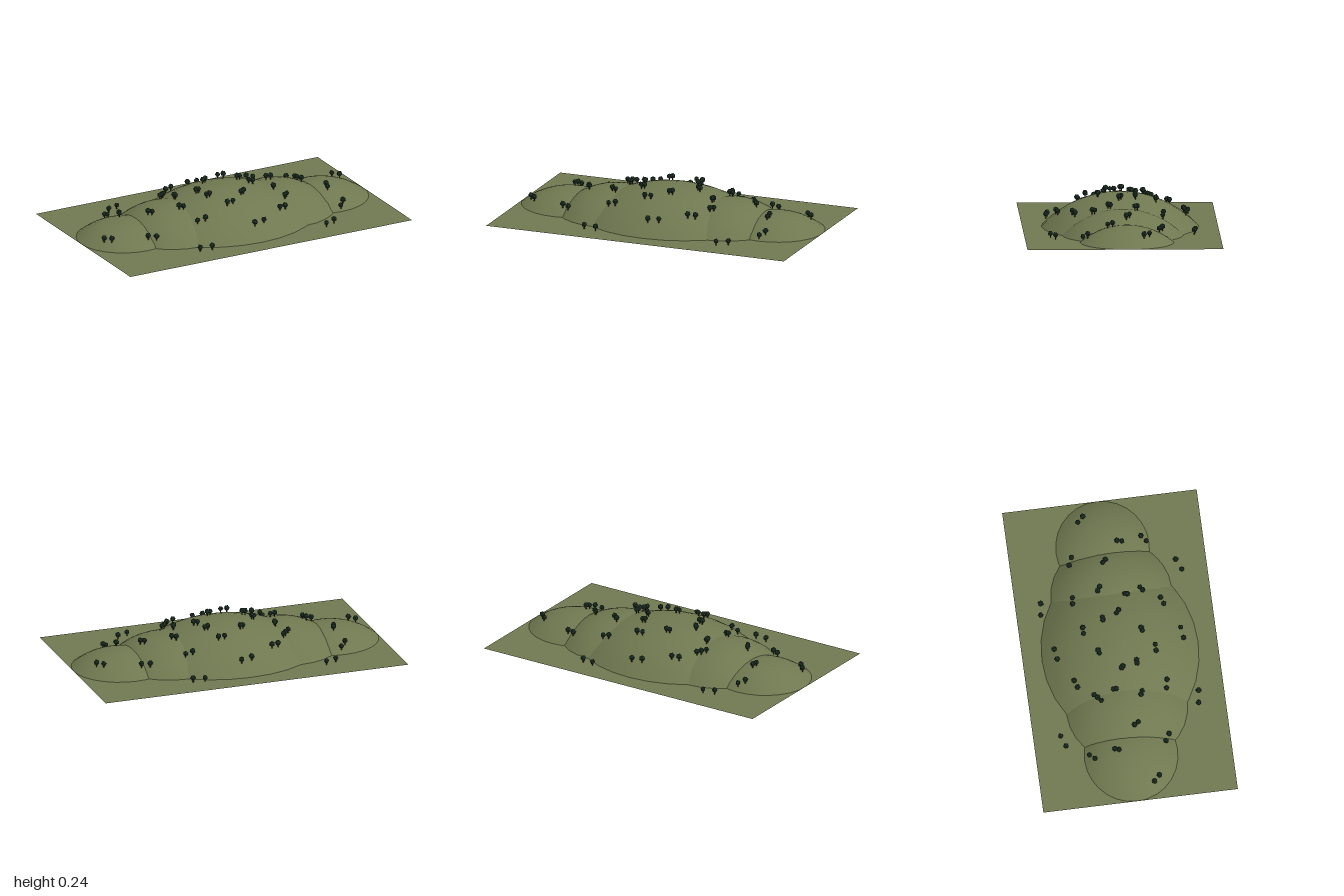
import * as THREE from 'three';

// Hills: centre x, centre z, half width, half depth, height
const HILLS = [[0, 0, 0.6, 0.49, 0.21]];
for (const s of [-1, 1]) {
  HILLS.push([s * 0.38, -0.005, 0.36, 0.378, 0.16]);
  HILLS.push([s * 0.69, -0.02, 0.31, 0.292, 0.105]);
}

// Tree spots as x, z pairs, planted in small clumps
const TREES = [
  -0.59, -0.415, -0.52, -0.44, -0.04, -0.4, 0.03, -0.41, 0.29, -0.46, 0.365, -0.45,
  -0.71, -0.25, -0.675, -0.28, -0.25, -0.3, -0.205, -0.315, -0.365, -0.165, -0.34, -0.185,
  -0.32, -0.205, 0.075, -0.22, 0.115, -0.22, 0.3, -0.26, 0.345, -0.255, 0.575, -0.245,
  0.625, -0.225, 0.85, -0.155, 0.885, -0.12, -0.68, -0.12, -0.69, -0.095, -0.31, -0.08,
  -0.31, -0.065, -0.075, -0.14, -0.055, -0.145, 0.14, -0.09, 0.16, -0.09, 0.35, -0.095,
  0.375, -0.08, 0.54, -0.04, 0.56, -0.02, -0.55, 0.02, -0.535, 0.045, -0.19, -0.015,
  -0.18, -0.005, 0.175, 0, 0.195, 0.015, -0.365, 0.085, -0.34, 0.095, -0.17, 0.085,
  -0.15, 0.085, 0.31, 0.07, 0.305, 0.085, 0.685, 0.07, 0.68, 0.1, -0.905, 0.1,
  -0.87, 0.135, 0.04, 0.145, 0.06, 0.14, 0.33, 0.185, 0.35, 0.17, -0.65, 0.205,
  -0.605, 0.23, -0.325, 0.25, -0.275, 0.26, -0.095, 0.215, -0.055, 0.215, 0.23, 0.305,
  0.275, 0.29, 0.69, 0.255, 0.72, 0.225, 0, 0.4, 0.07, 0.39, -0.41, 0.44,
  -0.33, 0.45, 0.48, 0.45, 0.55, 0.42,
];

// Height of a spherical cap of base radius r and height h, at distance t from its axis
function capHeight(t, r, h) {
  const R = (r * r + h * h) / (2 * h);
  return t >= r ? 0 : Math.sqrt(R * R - t * t) - (R - h);
}

// Ground height under any point: the tallest hill there
function groundHeight(x, z) {
  return Math.max(0, ...HILLS.map(([cx, cz, rx, rz, h]) =>
    capHeight(Math.hypot((x - cx) * rz / rx, z - cz), rz, h)));
}

export function createModel() {
  const model = new THREE.Group();
  model.name = 'woodedHills';
  const grass = new THREE.MeshStandardMaterial({ color: 0x6f7850, side: THREE.DoubleSide });
  const bark = new THREE.MeshStandardMaterial({ color: 0x3a2e20 });
  const leaves = new THREE.MeshStandardMaterial({ color: 0x24382a, flatShading: true });

  // Flat field
  const ground = new THREE.Mesh(new THREE.PlaneGeometry(2, 1.22).rotateX(-Math.PI / 2), grass);
  ground.name = 'ground';
  model.add(ground);

  // Overlapping domes
  HILLS.forEach(([cx, cz, rx, rz, h]) => {
    const rings = 9, profile = [];
    for (let i = 0; i <= rings; i++) {
      const t = rz * (1 - i / rings);
      profile.push(new THREE.Vector2(t, capHeight(t, rz, h)));
    }
    const hill = new THREE.Mesh(new THREE.LatheGeometry(profile, 28), grass);
    hill.name = 'hill';
    hill.scale.x = rx / rz;
    hill.position.set(cx, 0, cz);
    model.add(hill);
  });

  // Trees: thin trunk and faceted crown
  const trunkGeo = new THREE.CylinderGeometry(0.003, 0.0045, 0.025, 6).translate(0, 0.0105, 0);
  const crownGeo = new THREE.IcosahedronGeometry(0.019, 0).translate(0, 0.028, 0);
  for (let i = 0; i < TREES.length; i += 2) {
    const [x, z] = [TREES[i], TREES[i + 1]];
    const tree = new THREE.Group();
    tree.name = 'tree';
    const trunk = new THREE.Mesh(trunkGeo, bark);
    trunk.name = 'trunk';
    const crown = new THREE.Mesh(crownGeo, leaves);
    crown.name = 'crown';
    tree.add(trunk, crown);
    tree.position.set(x, groundHeight(x, z), z);
    tree.rotation.y = i * 1.3;
    tree.scale.setScalar(0.94 + 0.06 * Math.sin(i * 2.1));
    // Keep trunk feet at or above the field
    tree.position.y = Math.max(tree.position.y, 0.002);
    model.add(tree);
  }
  return model;
}
